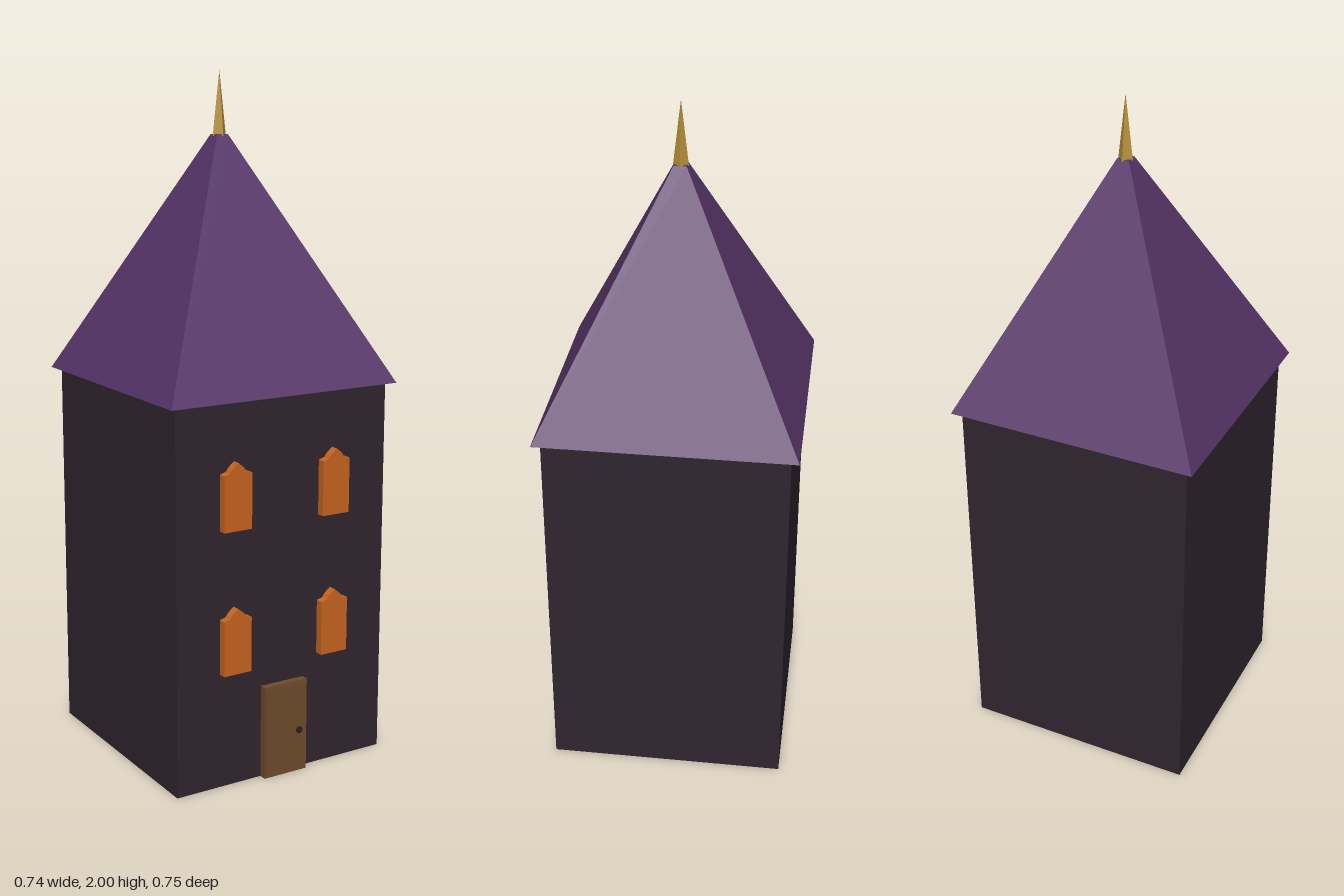
import * as THREE from 'three';

const paint = (name, color) => {
  const m = new THREE.MeshStandardMaterial({ color, flatShading: true });
  m.name = name;
  return m;
};

export function createModel() {
  const group = new THREE.Group();
  group.name = 'tower';

  const wall = paint('dark plum wall', 0x30252f);
  const purple = paint('purple roof', 0x573469);
  const orange = paint('orange window', 0xc86420);
  const wood = paint('brown wood', 0x704b2c);
  const gold = paint('gold', 0xb8923c);
  const iron = paint('dark iron', 0x2a2024);

  const cz = -0.005; // centre of the tower in depth
  const face = 0.343; // front wall plane

  const add = (name, geometry, material, x, y, z) => {
    const mesh = new THREE.Mesh(geometry, material);
    mesh.name = name;
    mesh.position.set(x, y, z);
    group.add(mesh);
    return mesh;
  };

  // Square body
  add('body', new THREE.BoxGeometry(0.696, 1.12, 0.696), wall, 0, 0.56, cz);

  // Truncated pyramid roof, overhanging the walls slightly
  const roof = new THREE.CylinderGeometry(0.018 * Math.SQRT2, 0.371 * Math.SQRT2, 0.7, 4);
  roof.rotateY(Math.PI / 4);
  add('roof', roof, purple, 0, 1.47, cz);

  // Four-sided spire, turned diagonally to the roof
  add('spire', new THREE.ConeGeometry(0.022, 0.185, 4), gold, 0, 1.9075, cz);

  // Windows with a small pointed crown
  const outline = [
    [-0.045, 0], [0.045, 0], [0.045, 0.161], [0.027, 0.166], [0.018, 0.178],
    [0, 0.193], [-0.018, 0.178], [-0.027, 0.166], [-0.045, 0.161],
  ].map(([x, y]) => new THREE.Vector2(x, y));
  const pane = new THREE.ExtrudeGeometry(new THREE.Shape(outline), { depth: 0.024, bevelEnabled: false });
  for (const y of [0.341, 0.759]) {
    for (const side of [-1, 1]) add('window', pane, orange, side * 0.164, y, face);
  }

  // Door: frame block, raised panel and handle
  add('doorFrame', new THREE.BoxGeometry(0.143, 0.278, 0.023), wood, 0, 0.139, face + 0.0115);
  add('doorPanel', new THREE.BoxGeometry(0.133, 0.262, 0.004), wood, 0, 0.141, 0.367);
  const knob = new THREE.CylinderGeometry(0.01, 0.01, 0.012, 8);
  knob.rotateX(Math.PI / 2);
  add('doorKnob', knob, iron, 0.043, 0.128, 0.369);

  return group;
}
